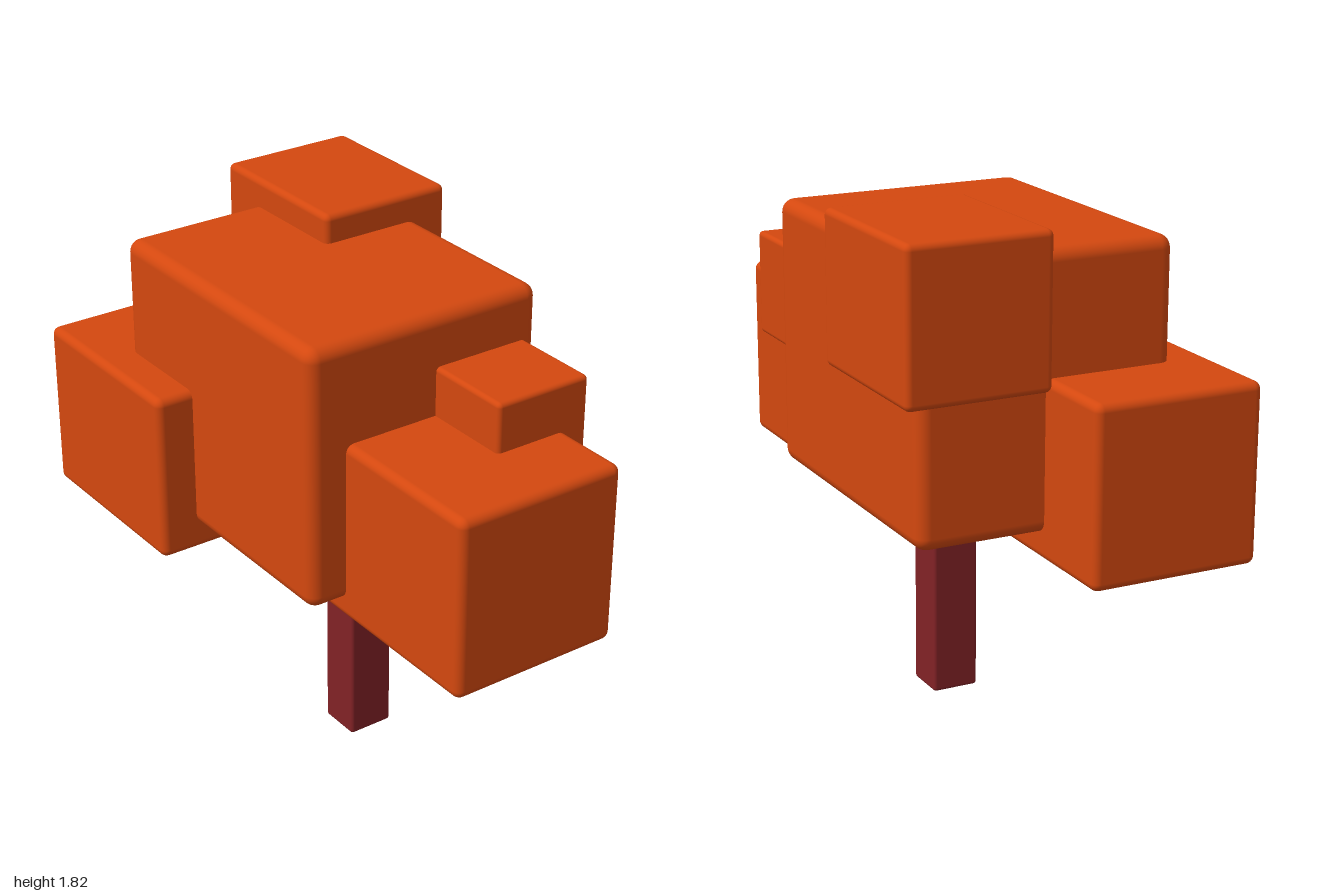
import * as THREE from 'three';
import { RoundedBoxGeometry } from 'three/addons/geometries/RoundedBoxGeometry.js';

export function createModel() {
  const tree = new THREE.Group();
  tree.name = 'tree';

  const leaf = new THREE.MeshStandardMaterial({ color: 0xd4480f });
  leaf.name = 'autumn orange';
  const bark = new THREE.MeshStandardMaterial({ color: 0x822226 });
  bark.name = 'dark red bark';

  // Soft-edged block spanning the given minimum and maximum corners
  function block(name, material, min, max, radius) {
    const size = max.map((v, i) => v - min[i]);
    const mesh = new THREE.Mesh(new RoundedBoxGeometry(...size, 3, radius), material);
    mesh.position.set(...min.map((v, i) => (v + max[i]) / 2));
    mesh.name = name;
    tree.add(mesh);
  }

  // Foliage
  block('mainFoliage', leaf, [-0.68, 0.79, -0.46], [0.41, 1.715, 0.437], 0.045);
  block('upperBackFoliage', leaf, [-0.84, 1.307, -0.575], [-0.24, 1.815, -0.08], 0.022);
  block('lowerFrontFoliage', leaf, [-1, 0.697, -0.02], [-0.28, 1.302, 0.573], 0.028);
  block('leftFoliage', leaf, [0.235, 0.72, -0.325], [1, 1.36, 0.3], 0.03);
  block('smallFoliage', leaf, [0.3, 1.165, -0.41], [0.728, 1.532, -0.05], 0.016);

  // Trunk with one bent side branch
  block('trunk', bark, [-0.03, 0, -0.092], [0.127, 0.9, 0.075], 0.012);
  block('branch', bark, [0.08, 0.53, -0.057], [0.55, 0.617, 0.038], 0.006);
  block('branchTip', bark, [0.435, 0.58, -0.046], [0.502, 0.8, 0.024], 0.004);

  return tree;
}
